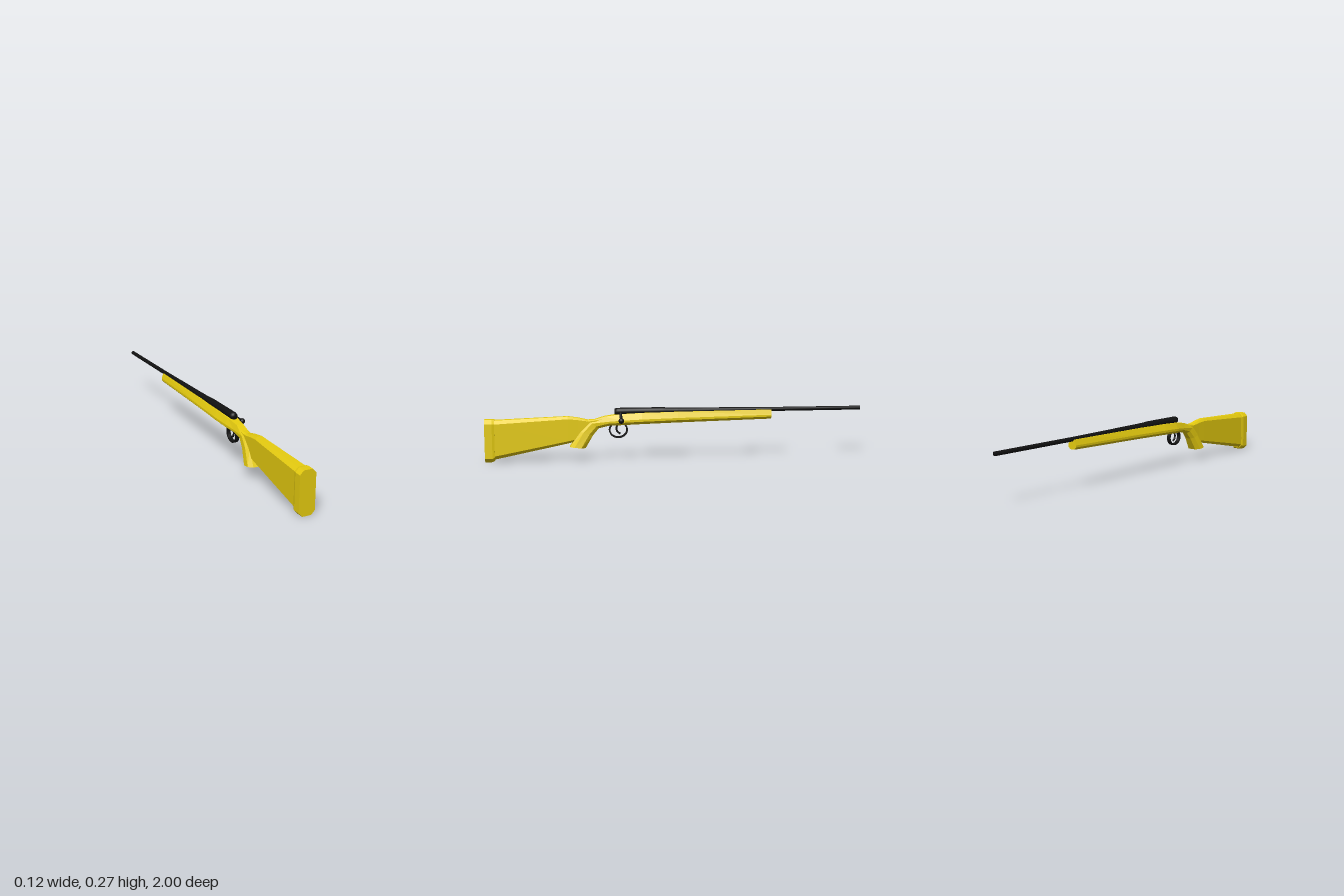
import * as THREE from 'three';

const CX = -0.0155; // centre plane of stock and barrel
const yellow = new THREE.MeshStandardMaterial({ color: 0xe6cc0f, flatShading: true });
const black = new THREE.MeshStandardMaterial({ color: 0x111111 });

// Outlines run anticlockwise: u = share of half width, v = share of height
const foreOutline = [[-0.55, 0], [0.55, 0], [1, 0.25], [1, 0.45], [0.62, 1], [-0.62, 1], [-1, 0.45], [-1, 0.25]];
const gripOutline = [[-0.55, 0], [0.55, 0], [1, 0.28], [1, 0.72], [0.55, 1], [-0.55, 1], [-1, 0.72], [-1, 0.28]];
const buttOutline = [[-0.55, 0], [0.55, 0], [1, 0.09], [1, 0.91], [0.55, 1], [-0.55, 1], [-1, 0.91], [-1, 0.09]];

// Lofts octagons; each section is [lower z, lower y, upper z, upper y, half width, outline]
function loft(sections) {
  const pos = [], index = [], n = 8, last = (sections.length - 1) * n;
  for (const [z0, y0, z1, y1, w, outline] of sections) {
    for (const [u, v] of outline) pos.push(CX + u * w, y0 + (y1 - y0) * v, z0 + (z1 - z0) * v);
  }
  for (let i = 0; i < last; i += n) {
    for (let j = 0; j < n; j++) {
      const k = (j + 1) % n;
      index.push(i + j, i + k, i + n + k, i + j, i + n + k, i + n + j);
    }
  }
  for (let j = 1; j < n - 1; j++) index.push(0, j + 1, j, last, last + j, last + j + 1);
  const g = new THREE.BufferGeometry();
  g.setAttribute('position', new THREE.Float32BufferAttribute(pos, 3));
  g.setIndex(index);
  const flat = g.toNonIndexed();
  flat.computeVertexNormals();
  return flat;
}

export function createModel() {
  const model = new THREE.Group();
  const add = (name, geometry, material) => {
    const mesh = new THREE.Mesh(geometry, material);
    mesh.name = name;
    model.add(mesh);
    return mesh;
  };

  // Fore-end that bends down into the pistol grip
  add('foreEndAndGrip', loft([
    [-0.505, 0.2, -0.505, 0.249, 0.025, foreOutline],
    [0, 0.189, 0, 0.246, 0.036, foreOutline],
    [0.19, 0.184, 0.19, 0.243, 0.0415, foreOutline],
    [0.29, 0.18, 0.3, 0.238, 0.038, foreOutline],
    [0.36, 0.178, 0.385, 0.226, 0.029, foreOutline],
    [0.415, 0.165, 0.465, 0.202, 0.026, gripOutline],
    [0.445, 0.13, 0.515, 0.15, 0.031, gripOutline],
    [0.485, 0.063, 0.565, 0.07, 0.042, gripOutline],
  ]), yellow);

  // Butt stock with its narrow wrist
  add('buttStock', loft([
    [0.37, 0.185, 0.36, 0.229, 0.02, buttOutline],
    [0.43, 0.165, 0.42, 0.212, 0.02, buttOutline],
    [0.48, 0.125, 0.47, 0.21, 0.02, buttOutline],
    [0.525, 0.1, 0.525, 0.222, 0.021, buttOutline],
    [0.575, 0.088, 0.575, 0.229, 0.023, buttOutline],
    [0.955, 0.012, 0.955, 0.215, 0.035, buttOutline],
  ]), yellow);

  add('buttPad', loft([
    [0.95, 0.008, 0.95, 0.218, 0.038, buttOutline],
    [0.962, 0, 0.962, 0.22, 0.0415, buttOutline],
    [1, 0, 1, 0.22, 0.0415, buttOutline],
  ]), yellow);

  // Barrel and receiver, turned about the bore
  const profile = [[0, -1], [0.0105, -1], [0.011, -0.5], [0.016, 0], [0.018, 0.06], [0.0195, 0.08],
    [0.0195, 0.315], [0.016, 0.33], [0, 0.33]].map(([r, z]) => new THREE.Vector2(r, z));
  const barrel = new THREE.LatheGeometry(profile, 20);
  barrel.rotateX(Math.PI / 2);
  add('barrelAndReceiver', barrel, black).position.set(CX, 0.25, 0);

  // Bolt handle
  const boltCurve = new THREE.LineCurve3(new THREE.Vector3(CX, 0.253, 0.3), new THREE.Vector3(0.043, 0.207, 0.3));
  add('boltHandle', new THREE.TubeGeometry(boltCurve, 1, 0.007, 10), black);
  add('boltKnob', new THREE.SphereGeometry(0.0148, 16, 12), black).position.set(0.043, 0.207, 0.3);

  // Trigger guard: a flat band in the side plane
  const guard = new THREE.Shape().absellipse(0.312, 0.154, 0.05, 0.044, 0, Math.PI * 2);
  guard.holes.push(new THREE.Path().absellipse(0.312, 0.154, 0.042, 0.036, 0, Math.PI * 2));
  const band = new THREE.ExtrudeGeometry(guard, { depth: 0.02, bevelEnabled: false, curveSegments: 14 });
  band.translate(0, 0, -0.01);
  band.rotateY(-Math.PI / 2);
  add('triggerGuard', band, black).position.x = CX;

  // Curved trigger
  const triggerCurve = new THREE.CatmullRomCurve3([[0.185, 0.315], [0.16, 0.322], [0.143, 0.316], [0.133, 0.302]]
    .map(([y, z]) => new THREE.Vector3(CX, y, z)));
  add('trigger', new THREE.TubeGeometry(triggerCurve, 10, 0.005, 8), black);

  return model;
}
